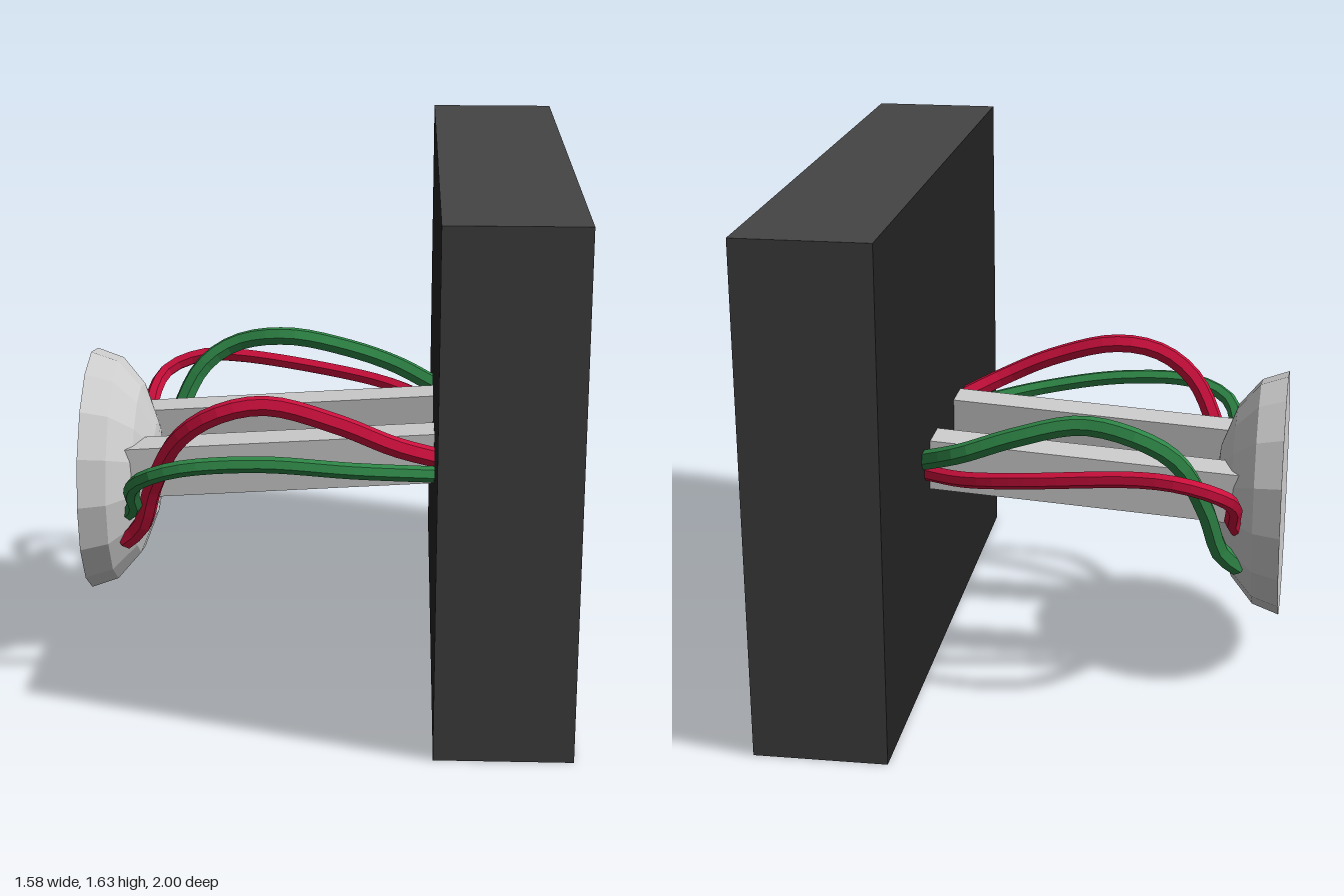
import * as THREE from 'three';

export function createModel() {
  const model = new THREE.Group();
  const mat = (name, color) => new THREE.MeshStandardMaterial({ name, color, flatShading: true });
  const casing = mat('casing grey', 0x444444);
  const dark = mat('screen black', 0x212121);
  const metal = mat('light metal', 0xcccccc);
  const red = mat('cable red', 0xcc0f3c);
  const green = mat('cable green', 0x2e8546);

  const add = (name, geometry, material) => {
    const mesh = new THREE.Mesh(geometry, material);
    mesh.name = name;
    model.add(mesh);
    return mesh;
  };

  // Upright rectangular ring facing +x; rectangles are [zMin, zMax, yMin, yMax]
  const ring = (name, outer, inner, x, depth, materials) => {
    const corners = ([z0, z1, y0, y1]) =>
      [[-z1, y0], [-z0, y0], [-z0, y1], [-z1, y1]].map(([a, b]) => new THREE.Vector2(a, b));
    const shape = new THREE.Shape(corners(outer));
    shape.holes.push(new THREE.Path(corners(inner).reverse()));
    const geo = new THREE.ExtrudeGeometry(shape, { depth, bevelEnabled: false });
    geo.rotateY(Math.PI / 2).translate(x, 0, 0);
    add(name, geo, materials);
  };

  // Monitor body with dark front and back faces, and a recessed screen
  const H = 1.63, back = 0.35, screenX = 0.71, front = 0.77;
  const body = new THREE.BoxGeometry(screenX - back, H, 2);
  body.translate((back + screenX) / 2, H / 2, 0);
  add('monitorBody', body, [dark, dark, casing, casing, casing, casing]);
  const t = 0.004;
  const rim = [-1 + t, 1 - t, t, H - t];
  ring('casingRim', [-1, 1, 0, H], rim, screenX, front - screenX, [dark, casing]);
  ring('screenBezel', rim, [-0.9, 0.9, 0.085, 1.56], screenX, front - screenX, dark);

  // Control buttons
  [['redButton', -0.632, red], ['greenButton', -0.746, green], ['greyButton', -0.858, casing]]
    .forEach(([name, z, material]) => {
      const geo = new THREE.BoxGeometry(0.024, 0.038, 0.076);
      add(name, geo.translate(0.773, 0.05, z), material);
    });

  // Wall mount dome: half ellipsoid with a flat back
  const profile = [new THREE.Vector2(0, 0)];
  for (let i = 0; i <= 4; i++) {
    const a = (i * Math.PI) / 8;
    profile.push(new THREE.Vector2(i === 4 ? 0 : 0.405 * Math.cos(a), 0.23 * Math.sin(a)));
  }
  const dome = new THREE.LatheGeometry(profile, 16);
  dome.rotateZ(-Math.PI / 2).translate(-0.79, 0.56, 0);
  add('wallMount', dome, metal);

  // Two support arms, rising to the monitor, outer side leaning inward
  for (const side of [1, -1]) {
    const geo = new THREE.BoxGeometry(1.03, 0.16, 0.14);
    const p = geo.attributes.position;
    for (let i = 0; i < p.count; i++) {
      const x = p.getX(i) - 0.15, y = p.getY(i), outer = p.getZ(i) * side > 0;
      const z = outer ? (y > 0 ? 0.268 : 0.284) : 0.143;
      p.setXYZ(i, x, y + 0.7 + (x - 0.35) * 0.066, z * side);
    }
    geo.computeVertexNormals();
    add(side > 0 ? 'leftArm' : 'rightArm', geo, metal);
  }

  // Cables looping from the dome into the back of the monitor
  const cable = (name, material, radius, points) => {
    const curve = new THREE.CatmullRomCurve3(points.map((q) => new THREE.Vector3(...q)));
    add(name, new THREE.TubeGeometry(curve, 28, radius, 6), material);
  };
  cable('leftRedCable', red, 0.032, [
    [-0.66, 0.4, 0.27], [-0.6, 0.46, 0.29], [-0.55, 0.62, 0.34], [-0.46, 0.8, 0.41],
    [-0.34, 0.89, 0.435], [-0.18, 0.92, 0.425], [0.05, 0.86, 0.425], [0.22, 0.785, 0.405], [0.36, 0.725, 0.34]]);
  cable('leftGreenCable', green, 0.026, [
    [-0.68, 0.47, 0.24], [-0.62, 0.53, 0.31], [-0.61, 0.63, 0.43], [-0.57, 0.7, 0.52],
    [-0.45, 0.75, 0.552], [-0.2, 0.762, 0.53], [0.1, 0.725, 0.475], [0.36, 0.68, 0.37]]);
  cable('rightGreenCable', green, 0.032, [
    [-0.66, 0.4, -0.27], [-0.6, 0.46, -0.3], [-0.55, 0.62, -0.34], [-0.46, 0.8, -0.4],
    [-0.34, 0.88, -0.428], [-0.16, 0.91, -0.412], [0.05, 0.865, -0.43], [0.22, 0.805, -0.435], [0.36, 0.75, -0.37]]);
  cable('rightRedCable', red, 0.026, [
    [-0.7, 0.49, -0.23], [-0.64, 0.56, -0.31], [-0.645, 0.67, -0.43], [-0.6, 0.745, -0.535],
    [-0.48, 0.79, -0.57], [-0.35, 0.795, -0.56], [0, 0.755, -0.515], [0.2, 0.725, -0.455], [0.36, 0.695, -0.33]]);

  return model;
}
